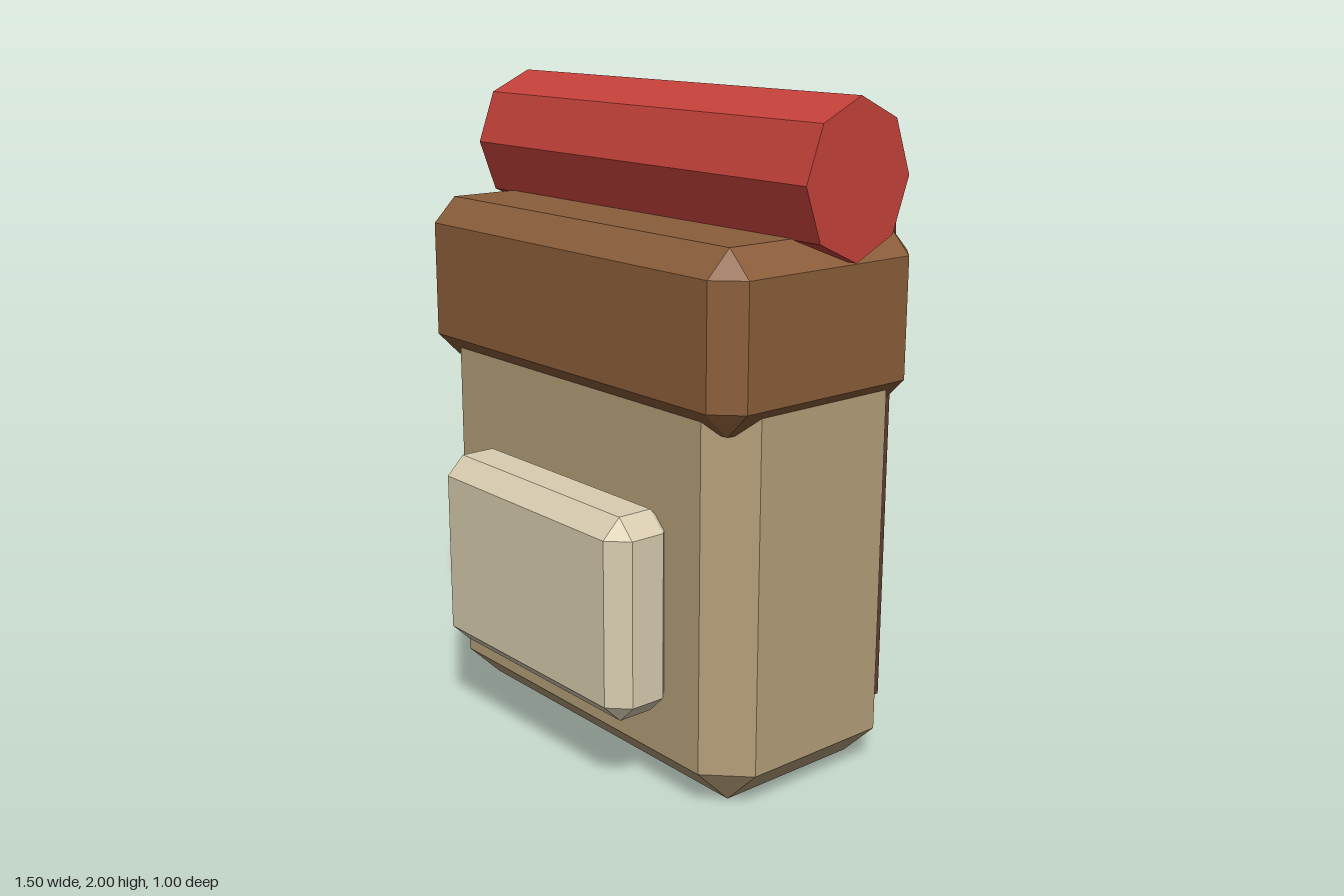
import * as THREE from 'three';
import { ConvexGeometry } from 'three/addons/geometries/ConvexGeometry.js';

const material = (name, color) => {
  const m = new THREE.MeshStandardMaterial({ color });
  m.name = name;
  return m;
};

// Box with every edge cut at 45 degrees, given by its [min, max] range on each axis
function chamferBox(x, y, z, cut) {
  const ranges = [x, y, z];
  const points = [];
  for (let corner = 0; corner < 8; corner++) {
    for (let outer = 0; outer < 3; outer++) {
      const p = ranges.map(([lo, hi], axis) => {
        const inset = axis === outer ? 0 : cut;
        return (corner >> axis) & 1 ? hi - inset : lo + inset;
      });
      points.push(new THREE.Vector3(...p));
    }
  }
  return new ConvexGeometry(points);
}

export function createModel() {
  const group = new THREE.Group();
  group.name = 'backpack';

  const canvas = material('tan canvas', 0xb59f79);
  const leather = material('brown leather', 0x8b5e3a);
  const paleCanvas = material('pale canvas', 0xdacdb0);
  const darkLeather = material('dark leather', 0x613e31);
  const blanket = material('red blanket', 0xc4413a);
  for (const m of [canvas, leather, paleCanvas, darkLeather, blanket]) m.flatShading = true;

  const add = (name, geometry, mat) => {
    const mesh = new THREE.Mesh(geometry, mat);
    mesh.name = name;
    group.add(mesh);
    return mesh;
  };

  // Bag, overhanging lid and front pocket
  add('body', chamferBox([-0.695, 0.695], [0, 1.4], [-0.4, 0.315], 0.115), canvas);
  add('lid', chamferBox([-0.722, 0.722], [1.115, 1.625], [-0.405, 0.355], 0.077), leather);
  add('pocket', chamferBox([-0.446, 0.446], [0.25, 0.862], [0.275, 0.5], 0.057), paleCanvas);

  // Octagonal bedroll lying across the lid, slightly flattened front to back
  const roll = new THREE.CylinderGeometry(0.222, 0.222, 1.496, 8);
  roll.rotateZ(Math.PI / 2);
  roll.scale(1, 1, 0.885);
  add('bedroll', roll, blanket).position.set(0, 1.778, -0.088);

  // Shoulder straps on the back
  for (const [name, side] of [['leftStrap', 1], ['rightStrap', -1]]) {
    add(name, new THREE.BoxGeometry(0.136, 1.525, 0.106), darkLeather)
      .position.set(side * 0.448, 0.863, -0.447);
  }

  return group;
}
